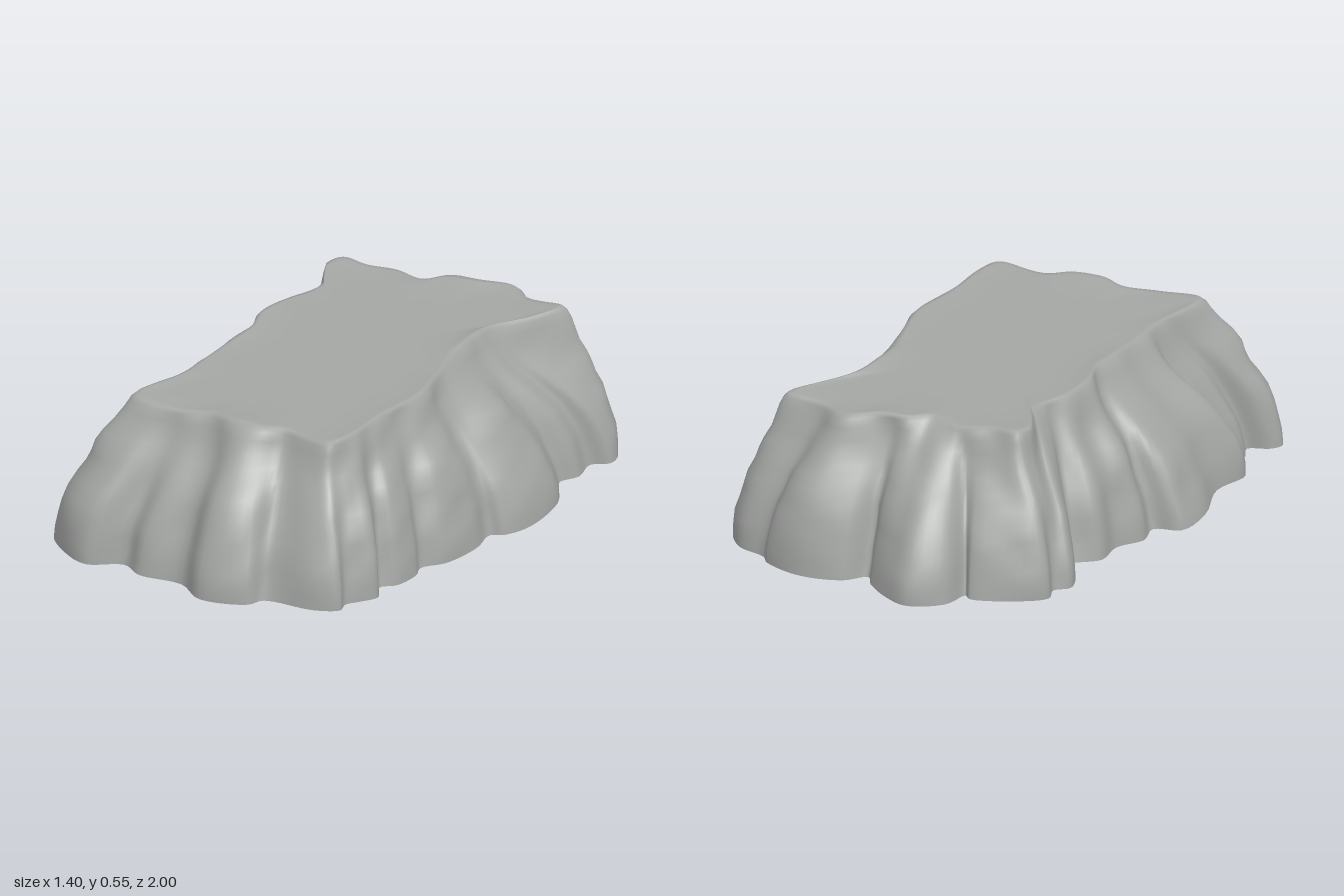
import * as THREE from 'three';

// Footprint as x, z pairs: rounded lobes with notches between them
const FOOT = [
  -0.59, -0.70, -0.50, -0.78, -0.36, -0.84, -0.33, -0.82, -0.31, -0.92, -0.20, -1.00, -0.10, -0.97,
  0.00, -0.90, 0.04, -0.85, 0.10, -0.92, 0.25, -0.96, 0.40, -0.92, 0.44, -0.88, 0.55, -0.85,
  0.63, -0.76, 0.64, -0.70, 0.59, -0.65, 0.61, -0.55, 0.58, -0.48, 0.61, -0.43, 0.67, -0.33,
  0.695, -0.12, 0.66, -0.02, 0.62, 0.01, 0.64, 0.12, 0.62, 0.28, 0.57, 0.36, 0.59, 0.42,
  0.58, 0.52, 0.54, 0.57, 0.58, 0.64, 0.55, 0.70, 0.52, 0.75, 0.53, 0.80, 0.45, 0.85,
  0.27, 0.88, 0.24, 0.94, 0.08, 0.995, -0.04, 0.93, -0.20, 0.95, -0.29, 0.91, -0.40, 0.98,
  -0.50, 0.95, -0.62, 0.85, -0.60, 0.80, -0.53, 0.76, -0.56, 0.69, -0.54, 0.60, -0.64, 0.56,
  -0.62, 0.40, -0.69, 0.20, -0.69, 0.04, -0.60, 0.00, -0.62, -0.10, -0.57, -0.20, -0.58, -0.32,
  -0.51, -0.40, -0.57, -0.48, -0.61, -0.58, -0.57, -0.63,
];
// Rim of the flat top as x, z pairs
const RIM = [
  -0.40, -0.60, -0.30, -0.60, -0.20, -0.63, -0.08, -0.62, -0.02, -0.68, 0.08, -0.70, 0.20, -0.75,
  0.30, -0.70, 0.45, -0.70, 0.41, -0.59, 0.35, -0.48, 0.32, -0.38, 0.34, -0.20, 0.36, -0.06,
  0.40, 0.06, 0.43, 0.22, 0.41, 0.38, 0.41, 0.55, 0.38, 0.65, 0.20, 0.64, 0.12, 0.69,
  0.00, 0.70, -0.08, 0.67, -0.20, 0.72, -0.37, 0.71, -0.37, 0.60, -0.34, 0.45, -0.36, 0.25,
  -0.34, 0.06, -0.39, -0.08, -0.38, -0.25, -0.35, -0.41, -0.42, -0.50,
];
// Wall profile: height, and how far the wall has moved from footprint to rim
const PROFILE = [
  [0, 0], [0.05, 0.03], [0.1, 0.075], [0.15, 0.135], [0.2, 0.21], [0.25, 0.3], [0.3, 0.42], [0.34, 0.525],
  [0.38, 0.635], [0.42, 0.74], [0.46, 0.825], [0.5, 0.895], [0.53, 0.945], [0.545, 1],
];
// Boulders swelling out of the wall and hollows above them: x, y, z, reach, push
const BOULDERS = [
  [0.47, 0.37, -0.17, 0.15, 0.045], [0.38, 0.48, -0.18, 0.11, -0.03],
  [0.13, 0.33, 0.82, 0.13, 0.03], [0.15, 0.47, 0.73, 0.1, -0.025],
  [-0.43, 0.41, 0.77, 0.13, 0.04], [-0.45, 0.15, 0.92, 0.18, 0.015],
  [-0.2, 0.3, -0.83, 0.15, 0.02], [0.25, 0.3, -0.85, 0.15, 0.02],
  [-0.66, 0.12, 0.13, 0.13, -0.03], [-0.4, 0.45, 0.25, 0.15, -0.015], [-0.5, 0.3, -0.12, 0.13, 0.025],
  [-0.53, 0.27, -0.56, 0.13, 0.02], [0.52, 0.3, 0.2, 0.12, 0.02], [0.5, 0.3, 0.48, 0.12, 0.02],
];
const PER_POINT = 5;

// Evenly divided smooth closed line through x, z pairs
function closedLine(list) {
  const points = [];
  for (let i = 0; i < list.length; i += 2) points.push(new THREE.Vector3(list[i], 0, list[i + 1]));
  const curve = new THREE.CatmullRomCurve3(points, true, 'centripetal');
  const n = points.length * PER_POINT;
  return Array.from({ length: n }, (_, i) => curve.getPoint(i / n));
}

// Moving average around a closed line
function smooth(line, reach) {
  const n = line.length;
  return line.map((_, i) => {
    const sum = new THREE.Vector3();
    for (let k = -reach; k <= reach; k++) sum.add(line[(i + k + n) % n]);
    return sum.divideScalar(2 * reach + 1);
  });
}

// Rim point lying in the same direction as a footprint point
function rimPoint(foot, rim) {
  const dx = foot.x * 0.65, dz = foot.z * 0.74;
  for (let i = 0; i < rim.length; i++) {
    const p = rim[i], q = rim[(i + 1) % rim.length];
    const cp = dx * p.z - dz * p.x, cq = dx * q.z - dz * q.x;
    if (cp <= 0 && cq > 0 && p.x * dx + p.z * dz > 0) return p.clone().lerp(q, cp / (cp - cq));
  }
  return new THREE.Vector3(dx, 0, dz);
}

// Smooth surface through closed rings of equal length
function skin(name, rings, material) {
  const n = rings[0].length, index = [];
  for (let r = 0; r < rings.length - 1; r++) {
    for (let i = 0; i < n; i++) {
      const a = r * n + i, b = r * n + (i + 1) % n;
      index.push(a, a + n, b, b, a + n, b + n);
    }
  }
  const geometry = new THREE.BufferGeometry().setFromPoints(rings.flat());
  geometry.setIndex(index);
  geometry.computeVertexNormals();
  const mesh = new THREE.Mesh(geometry, material);
  mesh.name = name;
  return mesh;
}

// Layered waves that roughen the stone
function roughness(x, y, z) {
  return 0.006 * Math.sin(9 * x + 14 * y + 3) * Math.sin(11 * z - 9 * y)
    + 0.006 * Math.sin(23 * x - 17 * y) * Math.cos(21 * z + 19 * y);
}

export function createModel() {
  const group = new THREE.Group();
  group.name = 'rockPlateau';
  const material = new THREE.MeshStandardMaterial({ color: 0xa4a6a4, side: THREE.DoubleSide });

  const foot = closedLine(FOOT);
  const softFoot = smooth(foot, 10);
  const rimLine = closedLine(RIM);
  const rim = smooth(softFoot.map((p) => rimPoint(p, rimLine)), 1);

  // Rocky wall, open at the bottom
  const wall = PROFILE.map(([y, t]) => foot.map((f, i) => {
    const p = f.clone().lerp(rim[i], t);
    p.y = y;
    const out = softFoot[i].clone().sub(rim[i]).normalize();
    const middle = Math.sin(Math.PI * Math.min(1, y / 0.545));
    const lobe = f.clone().sub(softFoot[i]).dot(out);
    let push = 0.3 * lobe;
    for (const [bx, by, bz, reach, amount] of BOULDERS) {
      const d2 = (p.x - bx) ** 2 + (y - by) ** 2 + (p.z - bz) ** 2;
      push += amount * Math.exp(-2.2 * d2 / reach ** 2);
    }
    p.addScaledVector(out, push * Math.sqrt(Math.max(0, middle)) + roughness(p.x, y, p.z) * Math.min(1, y / 0.15));
    // Uneven lip around the top
    p.y += THREE.MathUtils.smoothstep(y, 0.4, 0.545) * 0.008 * Math.sin(13 * p.x + 1) * Math.cos(9 * p.z);
    return p;
  }));

  // Flat top, settling slightly below the lip
  const lip = wall[wall.length - 1];
  const top = [0.97, 0.92, 0.8, 0.55, 0.3, 0].map((s) => lip.map((p) => new THREE.Vector3(
    p.x * s, THREE.MathUtils.lerp(0.538, p.y, THREE.MathUtils.smoothstep(s, 0.8, 1)), p.z * s)));

  group.add(skin('rockBody', [...wall, ...top], material));
  return group;
}
